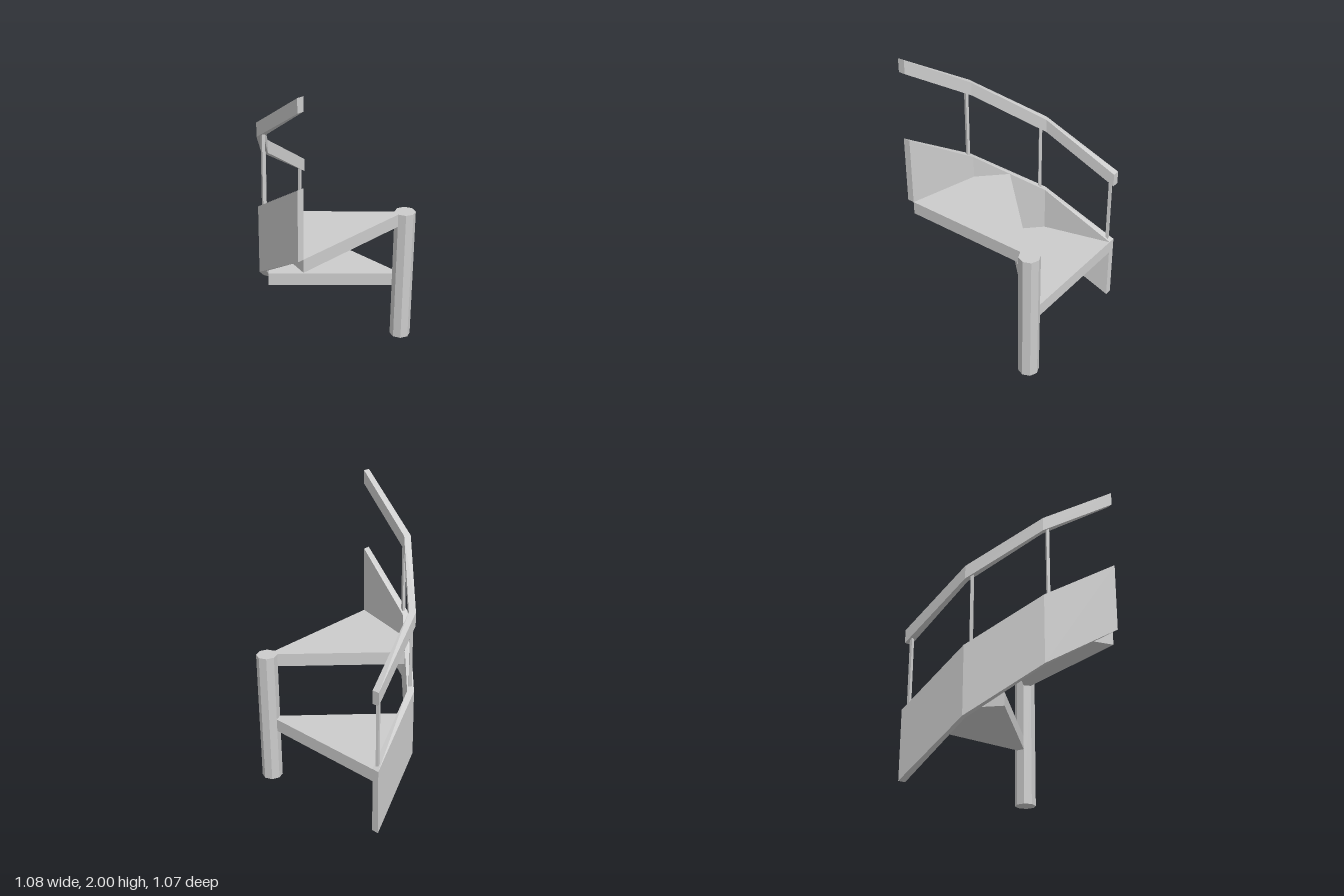
import * as THREE from 'three';

const material = new THREE.MeshStandardMaterial({ color: 0xcccccc, flatShading: true });

// Plan of the curved side, as [x, z], and the climb of each corner
const outer = [[-0.54, -0.467], [-0.4, 0.033], [-0.035, 0.4], [0.465, 0.535]];
const inner = [[-0.49, -0.467], [-0.363, 0.007], [-0.012, 0.36], [0.465, 0.487]];
const climb = [0, 0.318, 0.636, 0.953];
const POST = { x: 0.465, z: -0.468, r: 0.071, h: 0.953 };

function addMesh(group, name, geometry) {
  const mesh = new THREE.Mesh(geometry, material);
  mesh.name = name;
  group.add(mesh);
  return mesh;
}

// Solid band that follows the curved side between two heights above the climb
function bandGeometry(low, high) {
  const rings = climb.map((y, i) => {
    const [ox, oz] = outer[i], [ix, iz] = inner[i];
    return [[ox, y + low, oz], [ox, y + high, oz], [ix, y + high, iz], [ix, y + low, iz]];
  });
  const positions = [];
  const quad = (a, b, c, d) => positions.push(...a, ...b, ...c, ...a, ...c, ...d);
  for (let i = 0; i < rings.length - 1; i++) {
    const r = rings[i], s = rings[i + 1];
    for (let k = 0; k < 4; k++) {
      const n = (k + 1) % 4;
      quad(r[k], s[k], s[n], r[n]);
    }
  }
  quad(...rings[0]);
  quad(...[...rings[rings.length - 1]].reverse());
  const geometry = new THREE.BufferGeometry();
  geometry.setAttribute('position', new THREE.Float32BufferAttribute(positions, 3));
  geometry.computeVertexNormals();
  return geometry;
}

// Flat tread from a plan outline, with its upper face at the given height
function treadGeometry(points, top, thickness = 0.091) {
  const shape = new THREE.Shape(points.map(([x, z]) => new THREE.Vector2(x, -z)));
  const geometry = new THREE.ExtrudeGeometry(shape, { depth: thickness, bevelEnabled: false });
  return geometry.rotateX(-Math.PI / 2).translate(0, top - thickness, 0);
}

export function createModel() {
  const group = new THREE.Group();
  group.name = 'windingStair';

  // Octagonal centre post
  addMesh(group, 'centrePost', new THREE.CylinderGeometry(POST.r, POST.r, POST.h, 8))
    .position.set(POST.x, POST.h / 2, POST.z);

  // Two wedge treads fanning out from the post corners
  const corner = (k) => {
    const a = k * Math.PI / 4;
    return [POST.x - POST.r * Math.cos(a), POST.z + POST.r * Math.sin(a)];
  };
  const middle = [(inner[1][0] + inner[2][0]) / 2, (inner[1][1] + inner[2][1]) / 2];
  addMesh(group, 'lowerTread',
    treadGeometry([corner(0), inner[0], inner[1], middle, corner(1)], 0.476));
  addMesh(group, 'upperTread',
    treadGeometry([corner(1), middle, inner[2], inner[3], corner(2)], 0.953));

  // Outer stringer panel and handrail
  addMesh(group, 'stringer', bandGeometry(0, 0.477));
  addMesh(group, 'handrail', bandGeometry(0.953, 1.047));

  // Square balusters near the start of each run, turned along it
  for (let i = 0; i < 3; i++) {
    const a = outer[i].map((v, k) => (v + inner[i][k]) / 2);
    const b = outer[i + 1].map((v, k) => (v + inner[i + 1][k]) / 2);
    const dx = b[0] - a[0], dz = b[1] - a[1], length = Math.hypot(dx, dz);
    const t = (i === 1 ? 0.04 : 0.034) / length;
    const base = climb[i] + t * (climb[i + 1] - climb[i]) + 0.45;
    const baluster = addMesh(group, 'baluster', new THREE.BoxGeometry(0.02, 0.53, 0.02));
    baluster.position.set(a[0] + dx * t, base + 0.265, a[1] + dz * t);
    baluster.rotation.y = Math.atan2(dx, dz);
  }
  return group;
}
